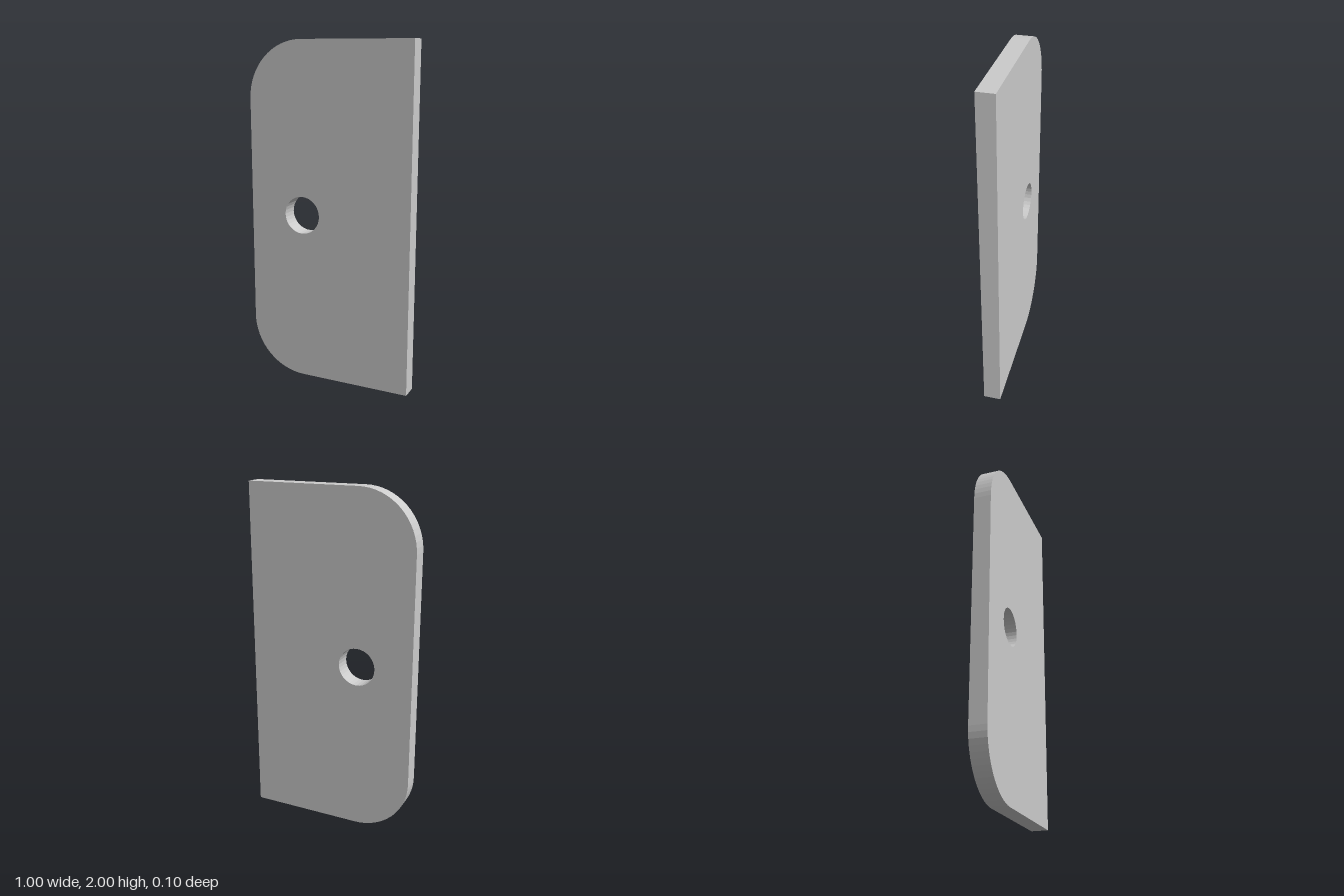
import * as THREE from 'three';

const WIDTH = 1, HEIGHT = 2, DEPTH = 0.1;
const CORNER = 0.333, HOLE = 0.11;

export function createModel() {
  const group = new THREE.Group();
  group.name = 'plate';
  const half = WIDTH / 2;
  const cx = -half + CORNER;

  // Outline: square corners on +x, rounded corners on -x
  const outline = new THREE.Shape();
  outline.moveTo(half, 0);
  outline.lineTo(half, HEIGHT);
  outline.lineTo(cx, HEIGHT);
  outline.absarc(cx, HEIGHT - CORNER, CORNER, Math.PI / 2, Math.PI, false);
  outline.lineTo(-half, CORNER);
  outline.absarc(cx, CORNER, CORNER, Math.PI, Math.PI * 1.5, false);
  outline.closePath();

  // Round through hole, in line with the corner centres
  const hole = new THREE.Path();
  hole.absarc(cx, HEIGHT / 2, HOLE, 0, Math.PI, false);
  hole.absarc(cx, HEIGHT / 2, HOLE, Math.PI, Math.PI * 2, false);
  outline.holes.push(hole);

  // Flat plate centred on z = 0
  const geometry = new THREE.ExtrudeGeometry(outline, {
    depth: DEPTH, bevelEnabled: false, curveSegments: 8,
  });
  geometry.translate(0, 0, -DEPTH / 2);

  const material = new THREE.MeshStandardMaterial({ color: 0xcccccc, flatShading: true });
  const plate = new THREE.Mesh(geometry, material);
  plate.name = 'drilledPlate';
  group.add(plate);
  return group;
}
